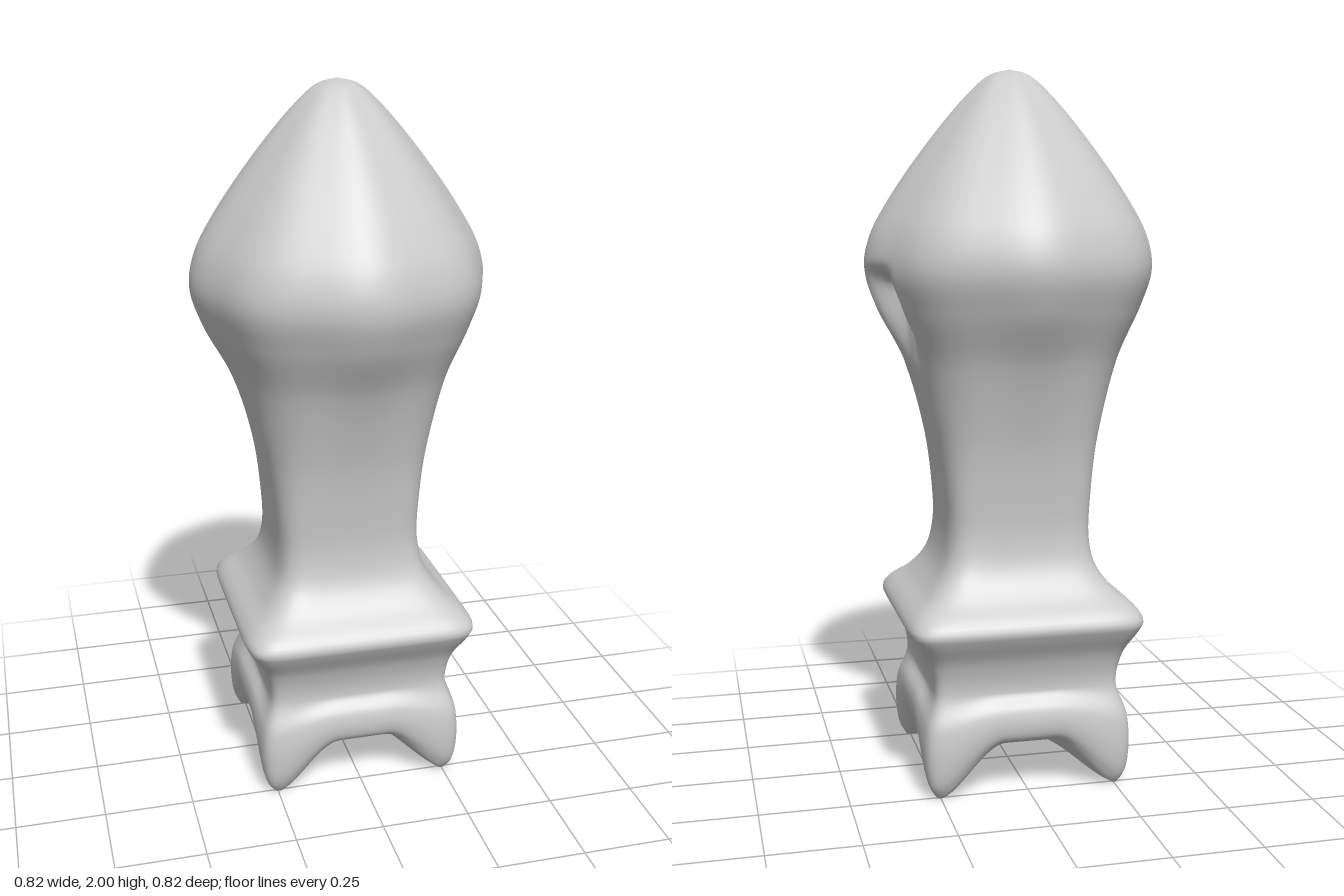
import * as THREE from 'three';

const SEGS = 192;
const WALL_ROWS = 170;
const CAP_ROWS = 24;
const WAIST = 0.29;

// Cross-sections from the feet to the tip: half-width, height, corner-to-side ratio
const SECTIONS = [
  [0.27, 0, 1.34], [0.287, 0.03, 1.34], [0.297, 0.1, 1.34], [0.29, 0.2, 1.35],
  [0.262, 0.29, 1.36], [0.28, 0.38, 1.34], [0.322, 0.452, 1.32], [0.334, 0.48, 1.31],
  [0.318, 0.508, 1.31], [0.265, 0.555, 1.29], [0.222, 0.62, 1.26], [0.206, 0.7, 1.24],
  [0.212, 0.83, 1.21], [0.24, 1.0, 1.14], [0.304, 1.2, 1.05], [0.382, 1.35, 1.0],
  [0.412, 1.45, 1.0], [0.397, 1.54, 1.0], [0.338, 1.65, 1.0], [0.215, 1.82, 1.0],
  [0.11, 1.94, 1.0], [0.055, 1.985, 1.0], [0, 2.0, 1.0],
];

const smooth = THREE.MathUtils.smoothstep;
const lerp = THREE.MathUtils.lerp;

// Radius of a rounded square whose corners reach ratio times its half-width
function squircle(angle, half, ratio) {
  const p = 1 / (0.5 - Math.log2(Math.max(1, ratio)));
  const c = Math.abs(Math.cos(angle)), s = Math.abs(Math.sin(angle));
  return half / Math.pow(c ** p + s ** p, 1 / p);
}

// Height of the arched lower rim: high mid-side, zero at the four feet
function rimHeight(angle) {
  const c = Math.abs(Math.cos(angle)), s = Math.abs(Math.sin(angle));
  return 0.15 * (1 - smooth(Math.min(c, s) / Math.max(c, s), 0.25, 1));
}

// Two scooped hollows on the left side, steep on top and fading downwards
function hollowDepth(y, z) {
  const side = Math.abs(z);
  const across = smooth(side, 0.005, 0.07) * (1 - smooth(side, 0.105, 0.17));
  const along = smooth(y, 1.16, 1.4) * (1 - smooth(y, 1.4, 1.475));
  return 0.075 * across * along;
}

function wallPoint(section, angle) {
  const { x: half, z: ratio } = section;
  let y = section.y;
  let r = squircle(angle, Math.max(0, half), ratio);
  // Soft eight-sided head
  r *= 1 + 0.014 * smooth(y, 1.0, 1.4) * (Math.cos(8 * angle) - 1);
  if (y > 1.1 && y < 1.5 && Math.cos(angle) > 0) r -= hollowDepth(y, r * Math.sin(angle));
  const shift = -0.006 * smooth(y, 0.55, 0.8);
  if (y < WAIST) {
    const rim = rimHeight(angle);
    y = rim + (WAIST - rim) * (y / WAIST);
  }
  return [r * Math.cos(angle) + shift, y, r * Math.sin(angle)];
}

// Hollowed underside, running from its centre out to the rim
function capPoint(t, angle) {
  const r = t * squircle(angle, SECTIONS[0][0], SECTIONS[0][2]);
  const y = lerp(0.105, rimHeight(angle), smooth(t, 0.3, 1.04));
  return [r * Math.cos(angle), y, r * Math.sin(angle)];
}

function bodyGeometry() {
  const curve = new THREE.CatmullRomCurve3(SECTIONS.map((s) => new THREE.Vector3(...s)), false, 'centripetal');
  const positions = [], index = [];
  const addRow = (point) => {
    for (let j = 0; j < SEGS; j++) positions.push(...point((j / SEGS) * Math.PI * 2));
  };
  for (let i = 0; i < CAP_ROWS; i++) addRow((a) => capPoint(i / CAP_ROWS, a));
  for (let i = 0; i <= WALL_ROWS; i++) {
    const section = curve.getPointAt(i / WALL_ROWS);
    addRow((a) => wallPoint(section, a));
  }
  for (let i = 0; i < CAP_ROWS + WALL_ROWS; i++) {
    for (let j = 0; j < SEGS; j++) {
      const k = (j + 1) % SEGS;
      const a = i * SEGS + j, c = i * SEGS + k;
      const b = a + SEGS, d = c + SEGS;
      index.push(a, b, c, b, d, c);
    }
  }
  const geometry = new THREE.BufferGeometry();
  geometry.setAttribute('position', new THREE.Float32BufferAttribute(positions, 3));
  geometry.setIndex(index);
  geometry.computeVertexNormals();
  // Poles: straight down under the body, straight up at the tip
  const normal = geometry.attributes.normal;
  for (let j = 0; j < SEGS; j++) {
    normal.setXYZ(j, 0, -1, 0);
    normal.setXYZ(normal.count - 1 - j, 0, 1, 0);
  }
  return geometry;
}

export function createModel() {
  const group = new THREE.Group();
  const body = new THREE.Mesh(bodyGeometry(), new THREE.MeshStandardMaterial({ color: 0xcccccc }));
  body.name = 'body';
  group.add(body);
  return group;
}
